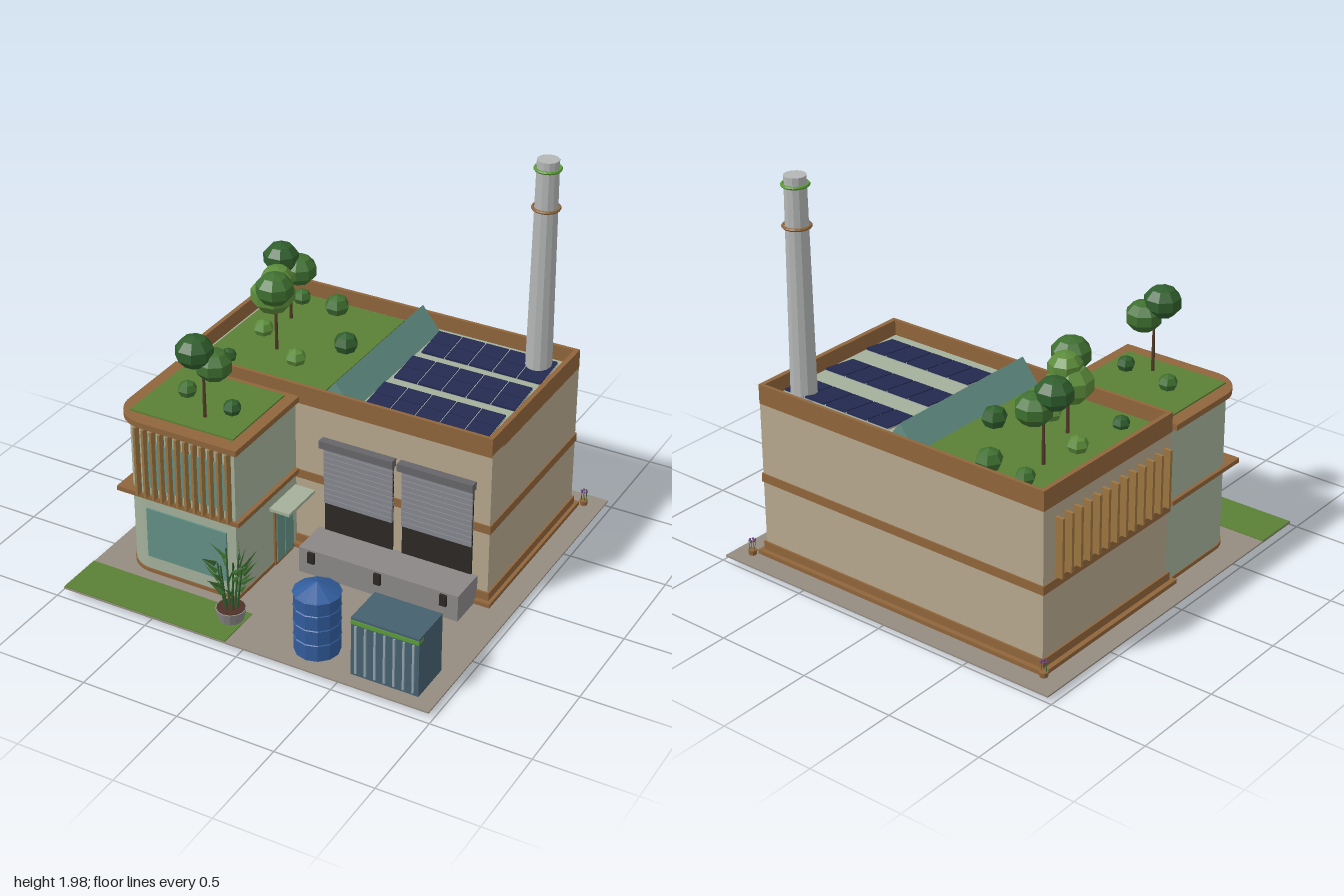
import * as THREE from 'three';

const mats = {};
const mat = (c) => (mats[c] ??= new THREE.MeshStandardMaterial({ color: c, flatShading: true, side: THREE.DoubleSide }));
const C = {
  ground: 0x958c80, lawn: 0x5a8035, tan: 0xb5a78d, brown: 0x8f653b, timber: 0x9c7440, sage: 0xa3b09a,
  glass: 0x628f85, glassDark: 0x54786f, dark: 0x2b2826, steel: 0x85878e, housing: 0x66666a, concrete: 0x8b8787,
  solar: 0x232a50, frame: 0x9aa0a4, chimney: 0xb4b6b6, green: 0x5b9a35, tank: 0x315c9c, shed: 0x46606f,
  rib: 0x8fa3ad, trunk: 0x523a28, leafA: 0x2f5e2c, leafB: 0x3f7030, leafC: 0x5c8c3a, soil: 0x4f3228, white: 0xc8c8c4, purple: 0x6b3f7c,
};

export function createModel() {
  const root = new THREE.Group();

  const add = (name, geo, color, x = 0, y = 0, z = 0, parent = root) => {
    const m = new THREE.Mesh(geo, mat(color));
    m.name = name;
    m.position.set(x, y, z);
    parent.add(m);
    return m;
  };
  const group = (name, x = 0, y = 0, z = 0) => {
    const g = new THREE.Group();
    g.name = name;
    g.position.set(x, y, z);
    root.add(g);
    return g;
  };
  // box given by its extents
  const box = (name, color, x0, x1, y0, y1, z0, z1, parent = root) =>
    add(name, new THREE.BoxGeometry(x1 - x0, y1 - y0, z1 - z0), color, (x0 + x1) / 2, (y0 + y1) / 2, (z0 + z1) / 2, parent);
  const cyl = (name, color, rt, rb, y0, y1, x, z, n = 12, parent = root) =>
    add(name, new THREE.CylinderGeometry(rt, rb, y1 - y0, n), color, x, (y0 + y1) / 2, z, parent);
  // horizontal slab, optionally with a rounded front left corner and a rectangular opening
  const slab = (name, color, x0, x1, z0, z1, y0, y1, r = 0, hole = null) => {
    const s = new THREE.Shape();
    s.moveTo(x1, -z1);
    s.lineTo(x1, -z0);
    s.lineTo(x0, -z0);
    s.lineTo(x0, -z1 + r);
    if (r) s.absarc(x0 + r, -z1 + r, r, Math.PI, Math.PI * 1.5, false);
    s.closePath();
    if (hole) {
      const [a, b, c, d] = hole;
      s.holes.push(new THREE.Path([[a, -c], [b, -c], [b, -d], [a, -d]].map((p) => new THREE.Vector2(...p))));
    }
    const geo = new THREE.ExtrudeGeometry(s, { depth: y1 - y0, bevelEnabled: false, curveSegments: 8 });
    return add(name, geo.rotateX(-Math.PI / 2), color, 0, y0, 0);
  };

  // site
  box('ground', C.ground, -0.98, 0.98, 0.027, 0.035, -1, 0.97);
  box('lawn', C.lawn, -0.98, -0.08, 0.026, 0.039, 0.72, 0.967);

  // main hall
  box('hallWalls', C.tan, -0.84, 0.84, 0.035, 0.85, -0.855, 0.1);
  box('hallStep', C.brown, -0.875, 0.868, 0.035, 0.056, -0.89, 0.135);
  box('hallPlinth', C.brown, -0.85, 0.85, 0.056, 0.098, -0.865, 0.11);
  box('hallBand', C.brown, -0.846, 0.846, 0.425, 0.47, -0.861, 0.106);
  slab('hallParapet', C.brown, -0.843, 0.84, -0.858, 0.103, 0.84, 0.94, 0, [-0.82, 0.815, -0.84, 0.085]);
  box('roofDeck', C.sage, -0.825, 0.82, 0.845, 0.86, -0.845, 0.09);
  box('roofGarden', C.lawn, -0.8, -0.1, 0.86, 0.872, -0.82, 0.07);

  // ridge skylight
  const tri = new THREE.Shape([[-0.1, 0], [0.1, 0], [0, 0.125]].map((p) => new THREE.Vector2(...p)));
  add('skylight', new THREE.ExtrudeGeometry(tri, { depth: 0.89, bevelEnabled: false }), C.glass, 0, 0.86, -0.82);

  // solar array: three tilted rows of five by two panels
  for (const z of [-0.662, -0.378, -0.088]) {
    const row = group('solarRow', 0.4475, 0.885, z);
    row.rotation.x = 0.12;
    add('solarFrame', new THREE.BoxGeometry(0.645, 0.008, 0.19), C.frame, 0, -0.005, 0, row);
    for (let i = 0; i < 5; i++)
      for (const s of [-1, 1])
        add('solarPanel', new THREE.BoxGeometry(0.122, 0.01, 0.094), C.solar, (i - 2) * 0.13, 0, s * 0.049, row);
  }

  // chimney
  cyl('chimney', C.chimney, 0.054, 0.066, 0.86, 1.975, 0.69, -0.71, 12);
  for (const [y, r, c] of [[1.73, 0.064, C.brown], [1.93, 0.061, C.green]])
    add('chimneyRing', new THREE.TorusGeometry(r, 0.008, 6, 20).rotateX(Math.PI / 2), c, 0.69, y, -0.71);

  // office wing with a rounded corner
  slab('wingWalls', C.sage, -0.84, -0.2, 0.09, 0.655, 0.035, 0.855, 0.15);
  slab('wingBase', C.brown, -0.845, -0.195, 0.09, 0.66, 0.035, 0.055, 0.155);
  slab('wingLedge', C.brown, -0.857, -0.178, 0.108, 0.665, 0.454, 0.478);
  slab('wingCap', C.brown, -0.867, -0.175, 0.106, 0.68, 0.85, 0.88, 0.17, [-0.8, -0.235, 0.14, 0.605]);
  box('wingGarden', C.lawn, -0.8, -0.235, 0.85, 0.888, 0.14, 0.605);
  box('lowerWindow', C.glass, -0.695, -0.25, 0.13, 0.4, 0.64, 0.664);
  box('upperWindow', C.glass, -0.695, -0.25, 0.525, 0.775, 0.64, 0.662);
  for (let i = 0; i < 12; i++) {
    const x = -0.725 + i * 0.0455;
    box('frontFin', C.timber, x - 0.006, x + 0.006, 0.478, 0.85, 0.655, 0.692);
  }
  for (let i = 0; i < 13; i++) {
    const z = -0.765 + i * 0.0675;
    box('sideFin', C.timber, -0.882, -0.838, 0.48, 0.78, z - 0.008, z + 0.008);
  }

  // side entrance
  box('doorFrame', C.brown, -0.21, -0.19, 0.035, 0.365, 0.15, 0.32);
  for (const z of [0.162, 0.238]) box('doorLeaf', C.glass, -0.2, -0.185, 0.05, 0.355, z, z + 0.07);
  box('doorCanopy', C.sage, -0.2, -0.09, 0.366, 0.382, 0.11, 0.355);

  // loading dock
  box('dock', C.concrete, -0.07, 0.785, 0.035, 0.175, 0.1, 0.302);
  for (const x of [0, 0.36, 0.71]) box('dockBumper', C.dark, x - 0.018, x + 0.018, 0.105, 0.165, 0.3, 0.315);
  for (const x of [-0.035, 0.385]) {
    box('dockOpening', C.dark, x, x + 0.37, 0.175, 0.66, 0.09, 0.109);
    for (let i = 0; i < 11; i++) {
      const y = 0.335 + i * 0.029;
      box('shutterSlat', C.steel, x, x + 0.37, y, y + 0.025, 0.1, 0.12);
    }
    box('shutterHousing', C.housing, x - 0.015, x + 0.38, 0.65, 0.69, 0.1, 0.143);
  }

  // water tank
  cyl('tank', C.tank, 0.11, 0.11, 0.035, 0.355, 0.315, 0.795, 12);
  cyl('tankRoof', C.tank, 0.004, 0.116, 0.352, 0.402, 0.315, 0.795, 12);
  for (const y of [0.12, 0.2, 0.28])
    add('tankHoop', new THREE.TorusGeometry(0.11, 0.004, 4, 12).rotateX(Math.PI / 2), C.tank, 0.315, y, 0.795);

  // storage unit
  box('storageUnit', C.shed, 0.545, 0.89, 0.035, 0.35, 0.672, 0.895);
  box('storageStripe', C.green, 0.545, 0.89, 0.318, 0.338, 0.85, 0.9);
  for (let i = 0; i < 7; i++) {
    const x = 0.572 + i * 0.0485;
    box('storageRib', C.rib, x - 0.005, x + 0.005, 0.05, 0.31, 0.89, 0.903);
  }

  // small cart
  const cart = group('cart', 0.12, 0, 0.53);
  box('cartBody', C.white, -0.036, 0.036, 0.05, 0.095, -0.042, 0.042, cart);
  box('cartTop', C.frame, -0.028, 0.028, 0.095, 0.104, -0.03, 0.03, cart);
  cyl('cartMast', C.dark, 0.002, 0.002, 0.1, 0.18, 0.02, 0, 5, cart);
  for (const sx of [-1, 1])
    for (const sz of [-1, 1])
      add('cartWheel', new THREE.CylinderGeometry(0.014, 0.014, 0.01, 8).rotateZ(Math.PI / 2), C.dark, sx * 0.039, 0.05, sz * 0.028, cart);

  // bamboo planter
  const planter = group('bambooPlanter', -0.15, 0, 0.795);
  cyl('planterPot', C.concrete, 0.075, 0.06, 0.035, 0.1, 0, 0, 14, planter);
  cyl('planterSoil', C.soil, 0.068, 0.068, 0.09, 0.103, 0, 0, 14, planter);
  for (let i = 0; i < 6; i++) {
    const stalk = new THREE.Group();
    stalk.name = 'bambooStalk';
    stalk.rotation.y = i * 1.047 + 0.3;
    planter.add(stalk);
    const h = 0.24 + (i % 3) * 0.025;
    cyl('stalkStem', C.leafA, 0.004, 0.006, 0, h, 0, 0, 5, stalk).rotation.z = -0.12;
    stalk.children[0].position.set(0.045, 0.1 + h / 2, 0);
    for (let k = 0; k < 4; k++) {
      const leaf = add('bambooLeaf', new THREE.ConeGeometry(0.013, 0.1, 4).scale(1, 1, 0.25).translate(0, 0.05, 0), C.leafB, 0.05 + k * 0.006, 0.2 + k * 0.045, 0, stalk);
      leaf.rotation.set(0, (k - 1.5) * 0.6, -0.75 - 0.15 * (k % 2), 'YXZ');
    }
  }

  // trees and shrubs
  const blob = (name, color, x, y, z, r, parent = root) => {
    const m = add(name, new THREE.SphereGeometry(r, 8, 5).scale(1, 0.85, 1), color, x, y, z, parent);
    m.rotation.y = x * 9;
  };
  const tree = (x, z, y0, crowns) => {
    const g = group('tree');
    cyl('treeTrunk', C.trunk, 0.006, 0.009, y0, 1.15, x, z, 6, g);
    for (const [c, ...p] of crowns) blob('treeCrown', c, ...p, g);
  };
  tree(-0.61, -0.56, 0.87, [[C.leafA, -0.645, 1.22, -0.53, 0.093], [C.leafB, -0.575, 1.145, -0.585, 0.093]]);
  tree(-0.51, -0.25, 0.87, [[C.leafC, -0.55, 1.15, -0.29, 0.115], [C.leafB, -0.48, 1.24, -0.19, 0.098], [C.leafC, -0.53, 1.23, -0.3, 0.085]]);
  tree(-0.455, 0.495, 0.88, [[C.leafA, -0.48, 1.245, 0.525, 0.095], [C.leafB, -0.41, 1.17, 0.475, 0.093]]);
  for (const [x, y, z, r, c] of [
    [-0.65, 0.9, -0.74, 0.05, C.leafB], [-0.44, 0.91, -0.73, 0.067, C.leafB], [-0.205, 0.915, -0.4, 0.065, C.leafA],
    [-0.665, 0.89, -0.05, 0.045, C.leafA], [-0.36, 0.9, -0.18, 0.055, C.leafC], [-0.65, 0.9, -0.36, 0.054, C.leafC],
    [-0.63, 0.925, 0.37, 0.05, C.leafB], [-0.355, 0.925, 0.415, 0.047, C.leafA],
  ]) add('shrub', new THREE.SphereGeometry(r, 6, 4).scale(1, 0.85, 1), c, x, y, z);

  // corner flower pots
  for (const [x, z] of [[0.885, -0.91], [-0.87, -0.885]]) {
    const g = group('flowerPot', x, 0, z);
    cyl('cornerPot', C.brown, 0.022, 0.018, 0.015, 0.06, 0, 0, 8, g);
    for (let i = 0; i < 6; i++) {
      const a = (i / 6) * Math.PI * 2, dx = Math.cos(a), dz = Math.sin(a);
      add('grassTuft', new THREE.ConeGeometry(0.005, 0.035, 4), C.leafB, dx * 0.024, 0.0175, dz * 0.024, g);
      cyl('flowerStem', C.leafA, 0.001, 0.001, 0.06, 0.11, dx * 0.014, dz * 0.014, 4, g);
      add('flowerHead', new THREE.SphereGeometry(0.006, 6, 4), C.purple, dx * 0.014, 0.112, dz * 0.014, g);
    }
  }
  return root;
}
